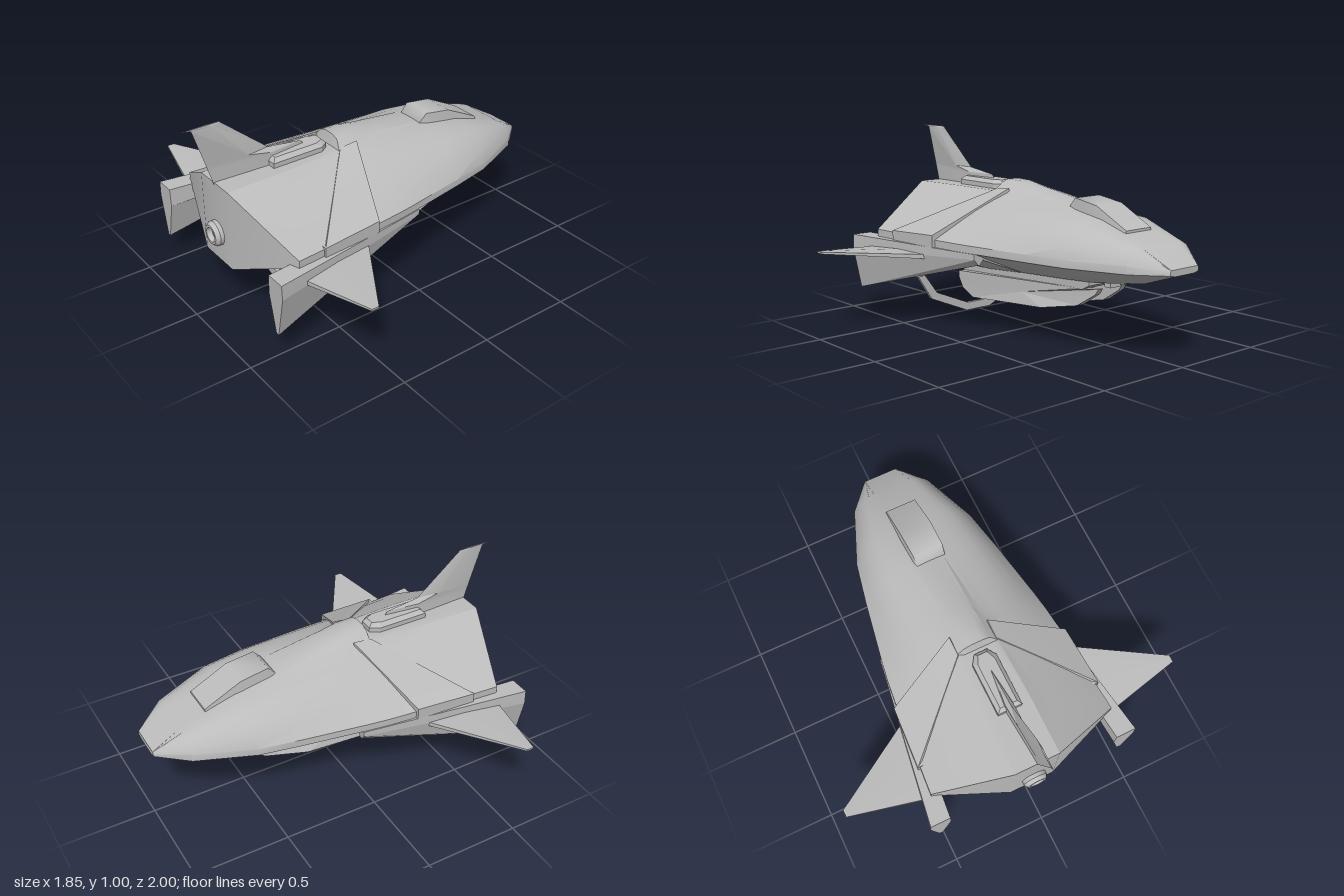
import * as THREE from 'three';
import { toCreasedNormals } from 'three/addons/utils/BufferGeometryUtils.js';

const grey = new THREE.MeshStandardMaterial({ color: 0xbcbcbc });
grey.name = 'hull grey';

// Skin a list of closed rings (arrays of [x, y, z]) and cap both ends; faces are turned outward.
function loft(rings, crease = 0.1) {
  const tris = [];
  const n = rings[0].length;
  for (let r = 0; r < rings.length - 1; r++) {
    for (let i = 0; i < n; i++) {
      const j = (i + 1) % n, a = rings[r], b = rings[r + 1];
      tris.push([a[i], a[j], b[j]], [a[i], b[j], b[i]]);
    }
  }
  [[rings[0], true], [rings[rings.length - 1], false]].forEach(([ring, flip]) => {
    const c = [0, 1, 2].map(k => ring.reduce((s, p) => s + p[k], 0) / n);
    ring.forEach((p, i) => {
      const q = ring[(i + 1) % n];
      tris.push(flip ? [c, q, p] : [c, p, q]);
    });
  });
  let volume = 0;
  const solid = [];
  for (const t of tris) {
    const [a, b, c] = t.map(p => new THREE.Vector3(...p));
    if (new THREE.Triangle(a, b, c).getArea() < 1e-7) continue;
    volume += a.dot(b.clone().cross(c));
    solid.push([a, b, c]);
  }
  const points = solid.flatMap(([a, b, c]) => (volume < 0 ? [a, c, b] : [a, b, c]));
  return toCreasedNormals(new THREE.BufferGeometry().setFromPoints(points), crease);
}

// Flat side outline in [z, y], extruded from -half to +half across x.
const sideProfile = (outline, half) => loft([-half, half].map(x => outline.map(([z, y]) => [x, y, z])));

const mirror = rings => rings.map(ring => ring.map(([x, y, z]) => [-x, y, z]));

const fullRing = half => [...half, ...half.map(([x, y, z]) => [-x, y, z]).reverse()];

export function createModel() {
  const model = new THREE.Group();
  const add = (name, geometry) => {
    const mesh = new THREE.Mesh(geometry, grey);
    mesh.name = name;
    model.add(mesh);
    return mesh;
  };
  const pair = (name, rings) => {
    add(name + 'Left', loft(rings));
    add(name + 'Right', loft(mirror(rings)));
  };

  // Hull stations: z, half width, top half width, top y, crown rise, keel half width, keel y, bulge
  const stations = [
    [-1, 0.095, 0.09, 0.462, 0, 0.06, 0.43, 0],
    [-0.85, 0.22, 0.09, 0.548, 0, 0.10, 0.378, 0.025],
    [-0.56, 0.335, 0.095, 0.637, 0, 0.12, 0.337, 0.045],
    [-0.34, 0.38, 0.10, 0.67, 0.006, 0.12, 0.32, 0.04],
    [0, 0.44, 0.10, 0.70, 0.035, 0.12, 0.30, 0.022],
    [0.1, 0.455, 0.11, 0.70, 0.055, 0.12, 0.294, 0.016],
    [0.195, 0.465, 0.11, 0.70, 0.057, 0.12, 0.287, 0.012],
    [0.21, 0.467, 0.11, 0.70, 0, 0.12, 0.286, 0.011],
    [0.53, 0.505, 0.12, 0.70, 0, 0.12, 0.27, 0, 0.72, 0.85],
  ];
  const steps = 5;
  const rings = stations.map(([z, w, t, top, crown, k, keel, bulge, rimZ = z, keelZ = z]) => {
    const half = [[t * 0.3, top + crown, z], [t * 0.65, top + crown * 0.75, z]];
    const rim = z === -1 ? 0.455 : 0.475;
    for (let i = 0; i <= steps; i++) {
      const u = i / steps, out = bulge * Math.sin(Math.PI * u);
      half.push([t + (w - t) * u + out * 0.6, top + (rim - top) * u + out, z + (rimZ - z) * u]);
    }
    half.push([w, 0.437, rimZ], [k, keel, keelZ]);
    return fullRing(half);
  });
  // Stern: the upper edge folds back to a narrow upright plate
  const stern = [[0.036, 0.695, 0.85], [0.078, 0.695, 0.85]];
  for (let i = 0; i <= steps; i++) stern.push([0.12, 0.695, 0.85]);
  stern.push([0.12, 0.27, 0.85], [0.12, 0.27, 0.85]);
  rings.push(fullRing(stern));
  add('hull', loft(rings, 0.5));

  // Belly strakes running from the keel out to the side pylons
  pair('bellyStrake', [[-0.02, 0.44, 0.425, 0.30], [0.25, 0.455, 0.385, 0.28], [0.6, 0.465, 0.36, 0.268]].map(([z, x, y, keel]) =>
    [[0.10, keel + 0.04, z], [x, 0.43, z], [x, y, z], [0.12, keel, z]]));

  // Canopy: z, bottom y, top y, half width
  add('canopy', loft([[-0.33, 0.65, 0.677, 0.085], [-0.37, 0.64, 0.72, 0.09],
    [-0.52, 0.62, 0.698, 0.094], [-0.715, 0.56, 0.602, 0.092]].map(([z, lo, hi, w]) =>
    [[-w, lo, z], [-w * 0.9, hi, z], [w * 0.9, hi, z], [w, lo, z]]), 1.1));

  // Swept armour bands over the shoulders, and their side skirts
  pair('armourBand', [
    [[0.09, 0.66, 0.1], [0.46, 0.45, 0.25], [0.48, 0.45, 0.575], [0.09, 0.66, 0.2]],
    [[0.105, 0.722, 0.1], [0.487, 0.50, 0.25], [0.507, 0.487, 0.575], [0.105, 0.712, 0.2]],
  ]);
  pair('armourSkirt', [
    [[0.44, 0.437, 0.25], [0.487, 0.437, 0.25], [0.487, 0.50, 0.25], [0.44, 0.50, 0.25]],
    [[0.46, 0.437, 0.575], [0.507, 0.437, 0.575], [0.507, 0.487, 0.575], [0.46, 0.487, 0.575]],
  ]);

  // Tapered side pylons dropping to a blade at the tail
  pair('sidePylon', [
    [[0.38, 0.437, -0.035], [0.44, 0.437, -0.035], [0.44, 0.41, -0.035],
      [0.415, 0.38, -0.035], [0.405, 0.38, -0.035], [0.38, 0.41, -0.035]],
    [[0.465, 0.437, 0.86], [0.572, 0.437, 0.86], [0.575, 0.36, 0.86],
      [0.53, 0.14, 0.86], [0.51, 0.14, 0.86], [0.462, 0.34, 0.86]],
  ]);

  // Thin swept wings
  pair('wing', [
    [[0.48, 0.393, 0.31], [0.48, 0.398, 0.5], [0.53, 0.388, 0.715], [0.53, 0.365, 0.715], [0.48, 0.352, 0.5], [0.48, 0.37, 0.31]],
    [[0.925, 0.421, 0.592], [0.925, 0.421, 0.61], [0.925, 0.421, 0.63], [0.925, 0.411, 0.63], [0.925, 0.411, 0.61], [0.925, 0.411, 0.592]],
  ]);

  // Tail fin with a long low root: y, front z, back z, half thickness
  add('tailFin', loft([[0.68, 0.36, 0.85, 0.024], [0.735, 0.34, 0.866, 0.022], [0.763, 0.365, 0.875, 0.02],
    [0.788, 0.55, 0.882, 0.017], [0.99, 0.79, 0.945, 0.006], [1, 0.80, 1, 0.004]].map(([y, f, b, t]) => {
    const m = f + (b - f) * 0.35;
    return [[0, y, f], [t, y, m], [0, y, b], [-t, y, m]];
  }), 0.3));
  const baseRing = (y, g) => [[-0.065 + g, y, 0.56 - g], [0.065 - g, y, 0.56 - g], [0.065 - g, y, 0.28 + g],
    [0.035 - g / 2, y, 0.235 + g], [-0.035 + g / 2, y, 0.235 + g], [-0.065 + g, y, 0.28 + g]];
  add('finBase', loft([baseRing(0.68, 0), baseRing(0.725, 0), baseRing(0.745, 0.02)]));

  // Stern nozzle
  const nozzle = add('nozzle', toCreasedNormals(new THREE.LatheGeometry([[0.065, -0.02], [0.065, 0.02],
    [0.05, 0.04], [0.038, 0.04], [0.03, 0.015], [0, 0.015]].map(p => new THREE.Vector2(...p)), 16), 0.5));
  nozzle.rotation.x = Math.PI / 2;
  nozzle.position.set(0, 0.42, 0.85);

  // Belly pod: two deep rails with an open channel between, a tail block and a cross plate, hung from a shelf
  const railOutline = [[0.48, 0.237], [0.48, 0.20], [0.45, 0.15], [0.36, 0.108], [0.1, 0.13],
    [-0.19, 0.153], [-0.42, 0.20], [-0.53, 0.27], [-0.55, 0.30], [-0.45, 0.29]];
  const railWidth = z => 0.145 - 0.05 * Math.max(0, (-0.19 - z) / 0.36);
  pair('podRail', [railOutline.map(([z, y]) => [0.065, y, z]), railOutline.map(([z, y]) => [railWidth(z), y, z])]);
  add('podTailBlock', sideProfile([[0.475, 0.25], [0.475, 0.20], [0.445, 0.15], [0.36, 0.11], [0.32, 0.112], [0.32, 0.25]], 0.066));
  add('podPlate', sideProfile([[0.1, 0.15], [0.1, 0.132], [-0.19, 0.155], [-0.19, 0.173]], 0.066));
  add('podShelf', sideProfile([[0.48, 0.275], [0.48, 0.235], [-0.45, 0.285], [-0.5, 0.31], [-0.5, 0.35]], 0.11));
  add('podHook', new THREE.BoxGeometry(0.07, 0.05, 0.04)).position.set(0, 0.325, -0.55);

  // Angular landing hoop beneath the stern, with brackets
  const outer = [[0.45, 0.36], [0.41, 0.25], [0.315, 0.10], [0.08, 0]];
  const inner = [[0.41, 0.36], [0.375, 0.26], [0.28, 0.13], [0.07, 0.042]];
  const both = list => [...list, ...list.map(([x, y]) => [-x, y]).reverse()];
  const innerLine = both(inner);
  add('landingHoop', loft(both(outer).map(([x, y], i) => {
    const [u, v] = innerLine[i];
    return [[x, y, 0.50], [x, y, 0.52], [u, v, 0.52], [u, v, 0.50]];
  })));
  pair('hoopBracket', [0.465, 0.525].map(z =>
    [[0.395, 0.37, z], [0.46, 0.39, z], [0.435, 0.24, z], [0.40, 0.24, z]]));

  return model;
}
